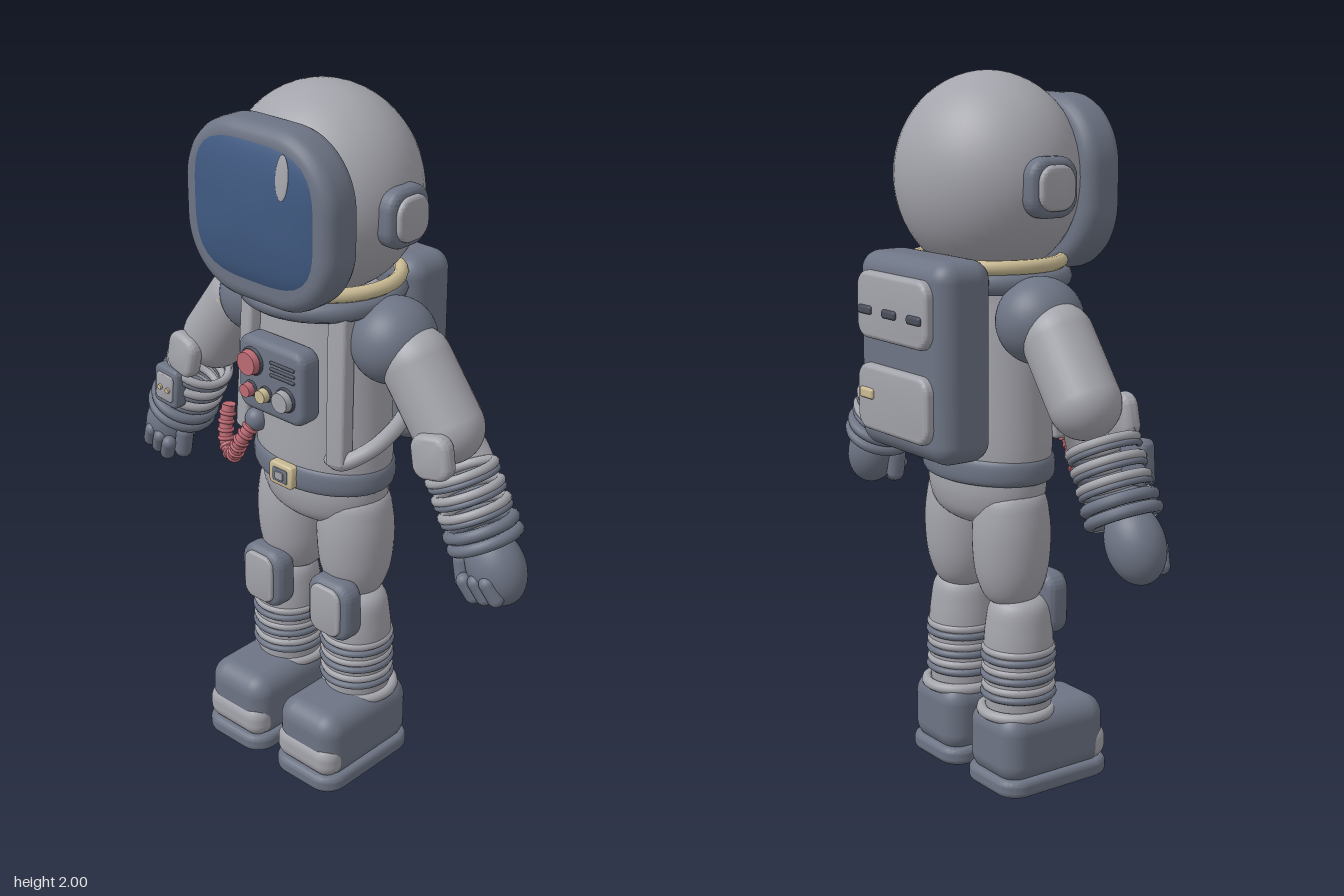
import * as THREE from 'three';
import { toCreasedNormals } from 'three/addons/utils/BufferGeometryUtils.js';
import { RoundedBoxGeometry } from 'three/addons/geometries/RoundedBoxGeometry.js';

const paint = (name, color) => Object.assign(new THREE.MeshStandardMaterial({ color }), { name });
const V = (x, y, z) => new THREE.Vector3(x, y, z);

// Rounded-corner plate facing +z, centred, with bevelled rims
function pad(w, h, d, r, b = Math.min(d * 0.45, 0.03)) {
  const x = w / 2 - b, y = h / 2 - b, q = Math.max(0.002, r - b);
  const s = new THREE.Shape();
  s.moveTo(-x + q, -y).lineTo(x - q, -y);
  s.absarc(x - q, -y + q, q, -Math.PI / 2, 0);
  s.absarc(x - q, y - q, q, 0, Math.PI / 2);
  s.absarc(-x + q, y - q, q, Math.PI / 2, Math.PI);
  s.absarc(-x + q, -y + q, q, Math.PI, Math.PI * 1.5);
  const g = new THREE.ExtrudeGeometry(s, { depth: d - 2 * b, bevelSize: b, bevelThickness: b, bevelSegments: 5, curveSegments: 10 });
  g.translate(0, 0, -(d - 2 * b) / 2);
  return toCreasedNormals(g, 0.6);
}

// Domed glass with a squarish rounded outline
function dome(w, h, depth) {
  const g = new THREE.SphereGeometry(1, 48, 20, 0, Math.PI * 2, 0, Math.PI / 2);
  g.rotateX(Math.PI / 2);
  const p = g.attributes.position;
  for (let i = 0; i < p.count; i++) {
    const a = Math.atan2(p.getY(i), p.getX(i)), n = 3.4;
    const f = (Math.abs(Math.cos(a)) ** n + Math.abs(Math.sin(a)) ** n) ** (-1 / n);
    p.setXYZ(i, p.getX(i) * f * w, p.getY(i) * f * h, p.getZ(i) * depth);
  }
  g.computeVertexNormals();
  return g;
}

const lathe = (pts) => new THREE.LatheGeometry(new THREE.SplineCurve(pts.map(([x, y]) => new THREE.Vector2(x, y))).getPoints(28), 40);
const ring = (r, t) => new THREE.TorusGeometry(r, t, 10, 40).rotateX(Math.PI / 2);
const ball = (x, y, z) => new THREE.SphereGeometry(1, 40, 28).scale(x, y, z);
const disc = (r, d) => new THREE.CylinderGeometry(r * 0.88, r, d, 24).rotateX(Math.PI / 2);
const tube = (pts, r) => new THREE.TubeGeometry(new THREE.CatmullRomCurve3(pts), 40, r, 12);

export function createModel() {
  const light = paint('suit grey', 0xa4a4ac), dark = paint('slate grey', 0x6d7484);
  const glass = paint('visor blue', 0x405a82), cream = paint('cream', 0xcabb94);
  const red = paint('soft red', 0xbd6a74), black = paint('vent dark', 0x494e5a);
  const root = new THREE.Group();
  root.name = 'astronaut';
  const add = (name, geo, mat, pos = [0, 0, 0], rot = [0, 0, 0], parent = root) => {
    const m = new THREE.Mesh(geo, mat);
    m.name = name;
    m.position.set(...pos);
    m.rotation.set(...rot);
    parent.add(m);
    return m;
  };

  // Helmet, visor and collar
  add('helmet', ball(0.275, 0.28, 0.25), light, [0, 1.72, 0.02]);
  add('visorFrame', pad(0.525, 0.48, 0.125, 0.19, 0.04), dark, [0, 1.7, 0.222]);
  add('visorGlass', dome(0.235, 0.208, 0.05), glass, [0, 1.713, 0.262]);
  add('visorGlint', ball(0.02, 0.058, 0.004), light, [0.12, 1.835, 0.299], [-0.14, 0.1, 0.05]);
  add('collarTrim', ring(0.212, 0.02), cream, [0, 1.493, 0.02]).scale.z = 0.93;
  add('collar', ring(0.2, 0.03), dark, [0, 1.447, 0.025]);

  // Torso, hips and belt
  add('torso', lathe([[0.216, 0.92], [0.22, 1.0], [0.213, 1.2], [0.204, 1.38], [0.185, 1.45], [0.02, 1.48]]), light, [0, 0, 0.022]).scale.z = 0.7;
  add('hips', lathe([[0.001, 0.752], [0.1, 0.757], [0.175, 0.79], [0.205, 0.85], [0.207, 0.92]]), light, [0, 0, 0.018]).scale.z = 0.68;
  add('belt', lathe([[0.19, 0.89], [0.215, 0.892], [0.226, 0.91], [0.226, 0.945], [0.215, 0.963], [0.19, 0.965]]), dark, [0, 0, 0.022]).scale.z = 0.72;
  add('buckle', pad(0.09, 0.07, 0.03, 0.015, 0.008), cream, [0, 0.93, 0.185]);
  add('buckleInset', pad(0.055, 0.042, 0.012, 0.006, 0.003), dark, [0, 0.93, 0.197]);
  add('buckleStud', pad(0.03, 0.024, 0.008, 0.004, 0.002), light, [0, 0.93, 0.203]);

  // Chest control box
  add('chestBox', pad(0.245, 0.215, 0.075, 0.04, 0.02), dark, [0, 1.227, 0.197]);
  const knobs = [[-0.063, 1.268, 0.037, red], [-0.07, 1.186, 0.021, red], [-0.013, 1.186, 0.021, cream], [0.06, 1.192, 0.032, light]];
  for (const [x, y, r, m] of knobs) {
    add('knobBase', disc(r * 1.15, 0.01), black, [x, y, 0.237]);
    add('knob', disc(r, 0.026), m, [x, y, 0.248]);
  }
  for (let i = 0; i < 3; i++) add('chestVent', new RoundedBoxGeometry(0.09, 0.009, 0.01, 2, 0.004), black, [0.05, 1.286 - i * 0.018, 0.236]);

  // Backpack
  add('backpack', new RoundedBoxGeometry(0.425, 0.545, 0.175, 6, 0.055), dark, [0, 1.247, -0.19]);
  for (const y of [1.378, 1.123]) add('packPlate', pad(0.34, 0.185, 0.036, 0.045, 0.014), light, [0, y, -0.284]);
  for (const x of [-0.12, 0, 0.12]) add('packSlot', new RoundedBoxGeometry(0.064, 0.024, 0.018, 3, 0.008), black, [x, 1.365, -0.302]);
  add('packLamp', new RoundedBoxGeometry(0.064, 0.03, 0.018, 3, 0.008), cream, [0.115, 1.135, -0.302]);

  // Air hoses
  add('airHose', tube([V(0.14, 1.02, 0.15), V(0.18, 1.015, 0.15), V(0.235, 1.05, 0.1), V(0.245, 1.08, 0.02), V(0.2, 1.1, -0.12)], 0.023), light);
  const loop = [V(-0.13, 1.04, 0.165), V(-0.16, 0.98, 0.19), V(-0.205, 0.915, 0.18), V(-0.245, 0.925, 0.165), V(-0.258, 0.98, 0.155), V(-0.26, 1.04, 0.14)];
  add('redHose', tube(loop, 0.02), red);
  add('hoseEnd', new THREE.CircleGeometry(0.02, 16).rotateX(-Math.PI / 2), red, [-0.26, 1.04, 0.14]);
  const path = new THREE.CatmullRomCurve3(loop);
  for (let i = 1; i < 13; i++) {
    const rib = add('hoseRib', new THREE.TorusGeometry(0.019, 0.006, 6, 18), red, path.getPointAt(i / 13).toArray());
    rib.quaternion.setFromUnitVectors(V(0, 0, 1), path.getTangentAt(i / 13));
  }
  add('hoseSocket', ball(0.032, 0.035, 0.03), dark, [-0.13, 1.045, 0.16]);

  for (const s of [1, -1]) {
    const side = s > 0 ? 'left' : 'right';
    // Ear cup and chest strap
    add(side + 'EarCup', pad(0.155, 0.16, 0.06, 0.055, 0.02), dark, [s * 0.272, 1.705, 0.022], [0, s * Math.PI / 2, 0]);
    add(side + 'EarCap', pad(0.115, 0.12, 0.03, 0.045, 0.011), light, [s * 0.301, 1.705, 0.022], [0, s * Math.PI / 2, 0]);
    add(side + 'Strap', pad(0.056, 0.44, 0.06, 0.012, 0.01), light, [s * 0.165, 1.225, 0.135], [-0.06, s * 0.25, s * 0.03]);

    // Shoulder and upper arm
    add(side + 'Shoulder', ball(0.115, 0.118, 0.122), dark, [s * 0.245, 1.352, 0.015]);
    add(side + 'UpperArm', new THREE.CapsuleGeometry(0.098, 0.19, 12, 32), light, [s * 0.38, 1.238, 0.015], [0, 0, s * 0.64]);

    // Forearm and hand, hanging along the arm's own -y
    const arm = new THREE.Group();
    arm.name = side + 'Forearm';
    arm.position.set(s * 0.46, 1.13, 0.028);
    arm.rotation.z = s * 0.48;
    root.add(arm);
    add('sleeve', lathe([[0.001, 0.06], [0.06, 0.045], [0.088, -0.02], [0.092, -0.12], [0.087, -0.22], [0.085, -0.29]]), light, [0, 0, 0], [0, 0, 0], arm);
    for (const y of [-0.1, -0.15, -0.2]) {
      add('sleeveFold', ring(0.09, 0.013), light, [0, y + 0.018, 0], [0, 0, 0], arm);
      add('sleeveBand', ring(0.092, 0.009), dark, [0, y, 0], [0, 0, 0], arm);
    }
    for (const y of [-0.235, -0.27]) add('cuff', ring(0.09, 0.017), dark, [0, y, 0], [0, 0, 0], arm);
    add('elbowPad', pad(0.12, 0.125, 0.05, 0.04, 0.02), light, [s * 0.005, -0.01, 0.085], [0, s * 0.12, -s * 0.3], arm);
    add('glove', ball(0.083, 0.108, 0.076), dark, [s * 0.008, -0.347, 0.005], [0, 0, 0], arm);
    for (let i = 0; i < 3; i++) add('finger', new THREE.CapsuleGeometry(0.022, 0.05, 6, 14), dark, [s * (0.02 - i * 0.038), -0.395 + i * 0.008, 0.064], [0.25, 0, 0], arm);
    add('thumb', new THREE.CapsuleGeometry(0.027, 0.06, 6, 14), dark, [-s * 0.08, -0.335, 0.035], [0, 0, -s * 0.3], arm);
    if (s < 0) {
      // Wrist computer
      add('wristBox', pad(0.1, 0.125, 0.045, 0.02, 0.012), dark, [-0.003, -0.138, 0.094], [0, 0, 0.4], arm);
      add('wristScreen', pad(0.07, 0.085, 0.012, 0.012, 0.004), light, [-0.003, -0.138, 0.116], [0, 0, 0.4], arm);
      for (const x of [-0.015, 0.015]) add('wristKey', disc(0.009, 0.008), cream, [x, -0.14 + x * 0.4, 0.124], [0, 0, 0], arm);
      add('shoulderLamp', ball(0.012, 0.014, 0.012), cream, [-0.325, 1.327, 0.1]);
    }

    // Leg
    add(side + 'Thigh', lathe([[0.001, 0.53], [0.065, 0.545], [0.098, 0.61], [0.11, 0.7], [0.107, 0.79], [0.085, 0.86], [0.001, 0.89]]), light, [s * 0.118, 0, 0.018]);
    add(side + 'Shin', lathe([[0.088, 0.17], [0.095, 0.25], [0.1, 0.37], [0.095, 0.47], [0.075, 0.545], [0.001, 0.575]]), light, [s * 0.137, 0, 0.03]);
    for (const y of [0.385, 0.33, 0.275]) {
      add(side + 'ShinFold', ring(0.093, 0.013), light, [s * 0.137, y + 0.022, 0.03]);
      add(side + 'ShinBand', ring(0.098, 0.011), dark, [s * 0.137, y, 0.03]);
    }
    add(side + 'AnkleRing', ring(0.097, 0.016), light, [s * 0.14, 0.225, 0.02]);
    add(side + 'KneePad', pad(0.158, 0.185, 0.075, 0.05, 0.025), dark, [s * 0.132, 0.528, 0.12]);
    add(side + 'KneePlate', pad(0.112, 0.152, 0.02, 0.035, 0.008), light, [s * 0.132, 0.53, 0.157]);

    // Boot
    add(side + 'Boot', new RoundedBoxGeometry(0.225, 0.21, 0.355, 6, 0.06), dark, [s * 0.142, 0.135, 0.093]);
    add(side + 'ToeCap', new RoundedBoxGeometry(0.222, 0.11, 0.1, 5, 0.045), light, [s * 0.142, 0.098, 0.228]);
    add(side + 'Sole', pad(0.242, 0.375, 0.052, 0.065, 0.018), dark, [s * 0.142, 0.026, 0.097], [-Math.PI / 2, 0, 0]);
  }
  return root;
}
